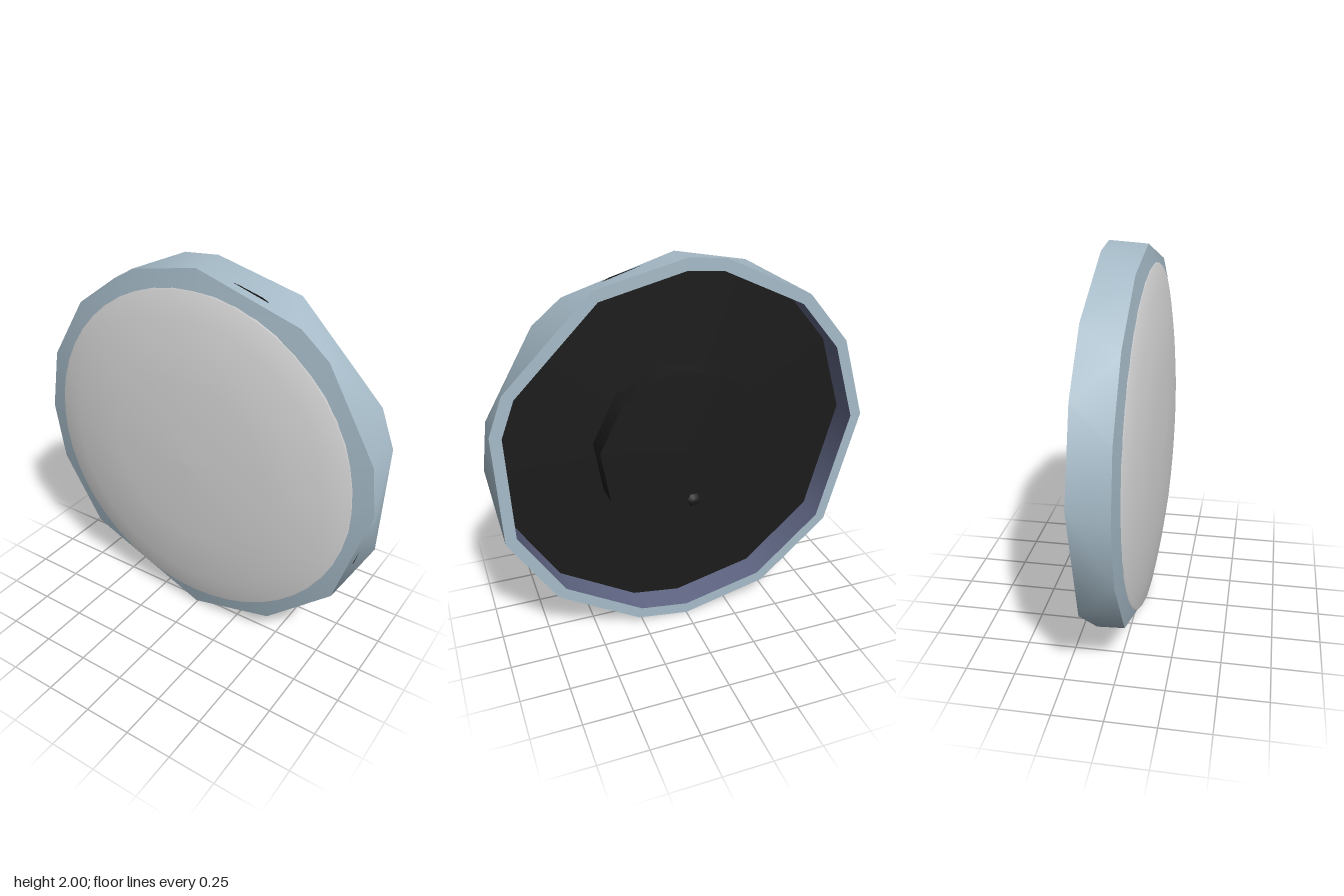
import * as THREE from 'three';

// Corner angles (degrees) of the rim: the back and front edges are different polygons
// joined by a zigzag of triangles, each pair being [back, front]
const WALL = [[15, 15], [27, 15], [27, 45], [63, 45], [63, 56], [63, 90], [90, 90], [101, 90],
  [101, 112], [130, 112], [130, 137], [150, 137], [150, 160], [176, 160], [176, 180], [176, 199],
  [214, 199], [214, 225], [243, 225], [243, 270], [270, 270], [286, 270], [286, 298], [315, 298],
  [315, 326], [341, 326], [341, 360], [375, 360], [375, 375]];
const edge = side => [...new Set(WALL.map(pair => pair[side]))];
const BACK = edge(0), FRONT = edge(1);

// Front bevel: polygon outside, twice as many corners inside
const BEVEL = FRONT.flatMap((a, i) => {
  if (i === FRONT.length - 1) return [[a, a]];
  const mid = (a + FRONT[i + 1]) / 2;
  return [[a, a], [a, mid], [FRONT[i + 1], mid]];
});

const even = (n, start = 0) => Array.from({ length: n + 1 }, (_, i) => start + i * 360 / n);

const material = (name, color) => {
  const m = new THREE.MeshStandardMaterial({ color });
  m.name = name;
  return m;
};

// Revolves a profile of [radius, z] about the z axis, with corners at the given angles;
// an angle may be a list holding one value per profile point
function turn(name, profile, angles, mat) {
  const n = angles.length - 1;
  const geo = new THREE.LatheGeometry(profile.map(([r, z]) => new THREE.Vector2(r, z)), n);
  const v = new THREE.Vector3(), up = new THREE.Vector3(0, 1, 0);
  for (const attr of [geo.attributes.position, geo.attributes.normal]) {
    for (let i = 0; i < attr.count; i++) {
      const k = Math.floor(i / profile.length);
      const angle = [angles[k]].flat();
      v.fromBufferAttribute(attr, i);
      v.applyAxisAngle(up, THREE.MathUtils.degToRad(angle[i % profile.length % angle.length] + 90 - k * 360 / n));
      attr.setXYZ(i, v.x, v.y, v.z);
    }
  }
  geo.rotateX(Math.PI / 2);
  const mesh = new THREE.Mesh(geo, mat);
  mesh.name = name;
  return mesh;
}

export function createModel() {
  const rimBlue = material('rimBlueGrey', 0xa6bbc8);
  const lining = material('liningSlate', 0x636988);
  const face = material('facePaleGrey', 0xdedede);
  const dark = material('backBlack', 0x1b1b1b);

  const group = new THREE.Group();
  group.name = 'disc';
  const body = new THREE.Group();
  body.name = 'body';
  body.position.y = 1;
  group.add(body);

  // Rim: outer wall, front bevel, back lip and inner lining
  body.add(
    turn('rimOuterWall', [[1, -0.145], [0.988, 0.045]], WALL, rimBlue),
    turn('rimFrontBevel', [[0.988, 0.045], [0.87, 0.07]], BEVEL, rimBlue),
    turn('rimBackLip', [[0.94, -0.145], [1, -0.145]], BACK, rimBlue),
    turn('rimLining', [[0.94, 0], [0.94, -0.145]], BACK, lining),
  );

  // Domed front
  body.add(turn('frontDome',
    [[0.895, 0.056], [0.88, 0.072], [0.75, 0.096], [0.6, 0.118], [0.45, 0.131], [0.22, 0.142], [0, 0.145]],
    even(48), face));

  // Thin back plate, just breaking through the rim, with a raised hub
  body.add(
    turn('backPlate', [[0, 0], [0.96, 0]], even(36), dark),
    turn('backPlateEdge', [[0.96, 0], [0.96, 0.006], [0.85, 0.006]], even(36), dark),
    turn('hubSide', [[0.45, -0.12], [0.455, 0]], even(10, 9), dark),
    turn('hubFace', [[0, -0.12], [0.45, -0.12]], even(10, 9), dark),
  );

  // Small stud near the bottom of the hub
  const stud = turn('hubStud', [[0, -0.14], [0.025, -0.14], [0.04, -0.12]], even(6), dark);
  stud.position.set(-0.05, -0.29, 0);
  body.add(stud);

  return group;
}
